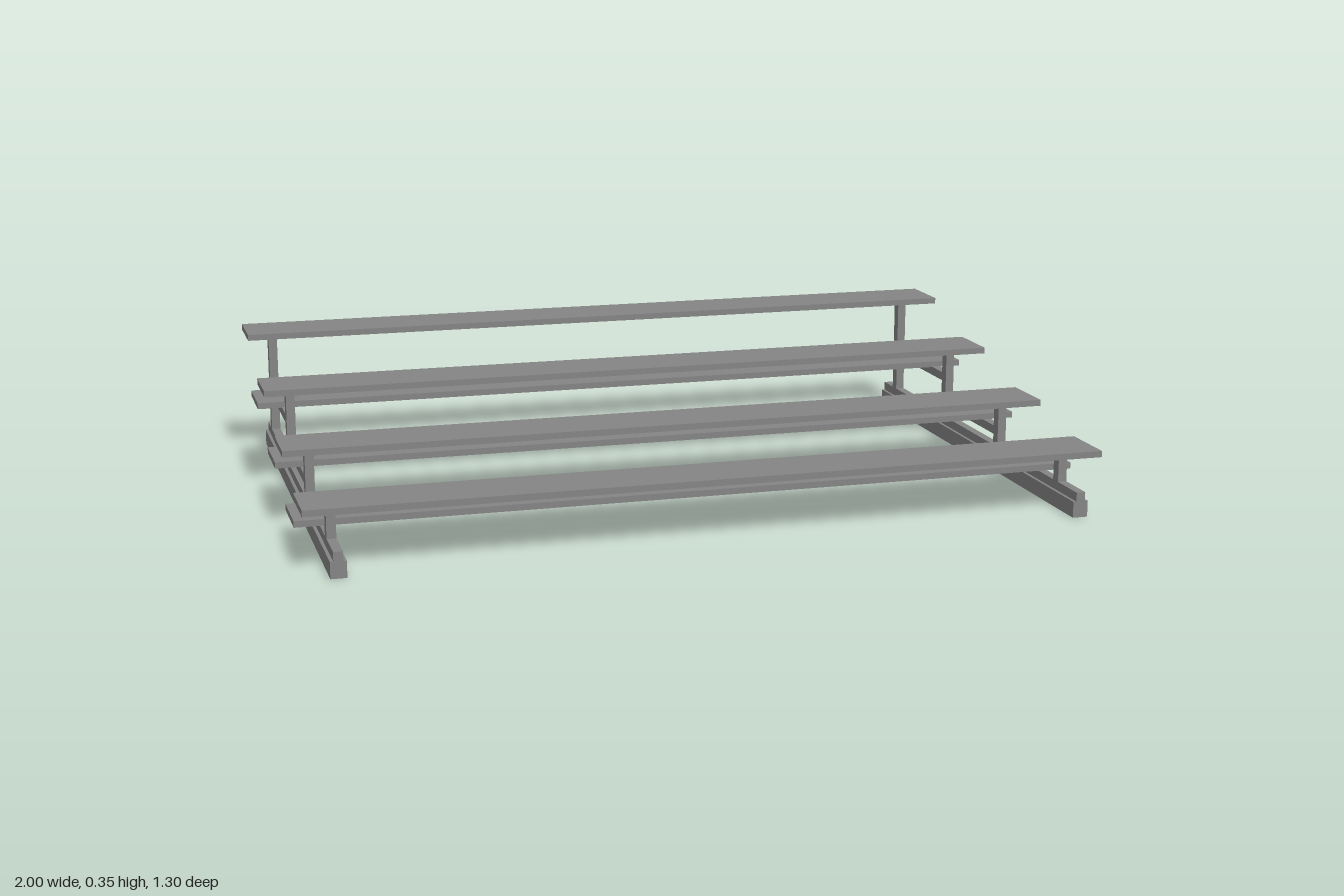
import * as THREE from 'three';

export function createModel() {
  const group = new THREE.Group();
  const material = new THREE.MeshStandardMaterial({ color: 0x858585, flatShading: true });

  // Box given by its centre x, width, and its y and z ranges
  function bar(name, x, width, y0, y1, z0, z1, parent) {
    const mesh = new THREE.Mesh(new THREE.BoxGeometry(width, y1 - y0, z1 - z0), material);
    mesh.position.set(x, (y0 + y1) / 2, (z0 + z1) / 2);
    mesh.name = name;
    parent.add(mesh);
  }

  // Full-length planks: centre z and underside height
  const plankThickness = 0.016;
  const seats = [[0.529, 0.139], [0.168, 0.189], [-0.2, 0.256], [-0.561, 0.332]];
  const footboards = [[0.358, 0.066], [-0.005, 0.117], [-0.373, 0.185]];
  for (const [name, planks] of [['seat', seats], ['footboard', footboards]]) {
    for (const [z, y] of planks) {
      bar(name, 0, 2, y, y + plankThickness, z - 0.079, z + 0.079, group);
    }
  }

  // Support frames, one near each end
  const post = 0.023;
  const postCentres = [0.529, 0.158, -0.202, -0.571];
  for (const side of [-1, 1]) {
    const frame = new THREE.Group();
    frame.name = side > 0 ? 'leftFrame' : 'rightFrame';
    const x = side * 0.926;

    // Ground beam with a narrower rail on top
    bar('groundBeam', x, 0.039, 0, 0.041, -0.65, 0.65, frame);
    bar('baseRail', x, post, 0.041, 0.064, -0.65, 0.65, frame);

    // Uprights under the seats
    postCentres.forEach((z, i) => {
      bar('post', x, post, 0.064, seats[i][1], z - 0.014, z + 0.014, frame);
    });

    // Rails carrying the raised footboards
    bar('lowerFootRail', x, post, 0.094, 0.117, -0.231, 0.144, frame);
    bar('upperFootRail', x, post, 0.164, 0.187, -0.635, -0.216, frame);
    group.add(frame);
  }
  return group;
}
